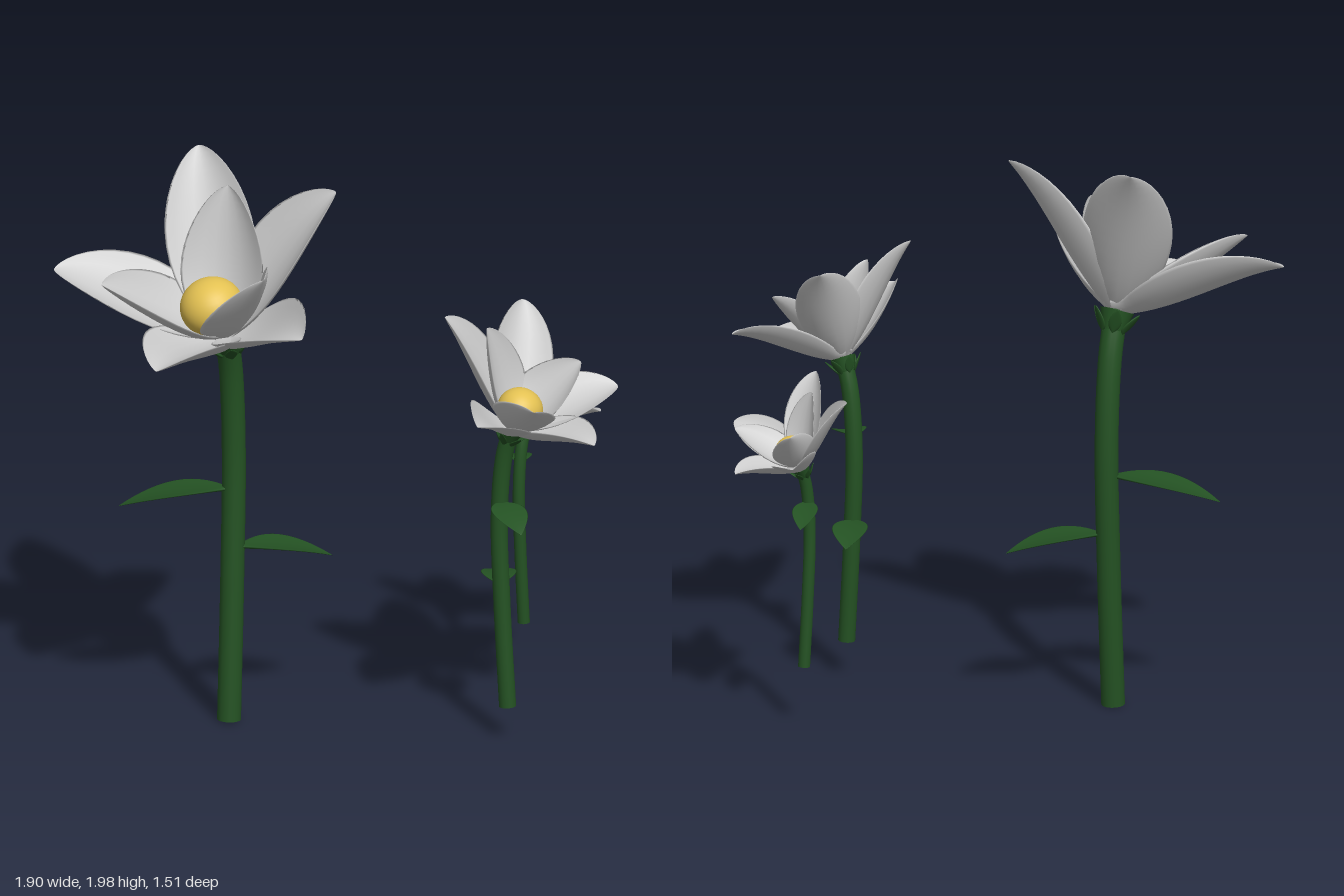
import * as THREE from 'three';

const V = (a) => new THREE.Vector3(...a);
const petalMat = new THREE.MeshStandardMaterial({ color: 0xcccccc });
const greenMat = new THREE.MeshStandardMaterial({ color: 0x245223 });
const yellowMat = new THREE.MeshStandardMaterial({ color: 0xe3c152 });

function add(parent, name, geometry, material) {
  const mesh = new THREE.Mesh(geometry, material);
  mesh.name = name;
  parent.add(mesh);
  return mesh;
}

// Cupped blade with a lens-shaped section, lofted from root to tip.
// lift bows the midline along "up", curl makes it sag first and flare at the tip,
// cup raises the edges towards "up".
function blade(root, tip, up, { width, thick, lift = 0, curl = 0, cup = 0, neck = 0.2, peak = 1.1, round = 0.75 }) {
  const N = 20, M = 20, pos = [], index = [];
  const c1 = root.clone().lerp(tip, 0.33).addScaledVector(up, lift - curl);
  const c2 = root.clone().lerp(tip, 0.67).addScaledVector(up, lift + curl);
  const curve = new THREE.CubicBezierCurve3(root, c1, c2, tip);
  for (let i = 0; i <= N; i++) {
    const t = (1 - Math.cos(Math.PI * i / N)) / 2;
    const d = curve.getTangent(t);
    const side = up.clone().cross(d).normalize();
    const n = d.clone().cross(side);
    const bulge = Math.pow(Math.max(0, Math.sin(Math.PI * Math.pow(t, peak))), round);
    const w = width * Math.max(bulge, neck * (1 - t));
    const h = thick * Math.sqrt(1 - t);
    const c = curve.getPoint(t);
    for (let j = 0; j < M; j++) {
      const a = j / M * Math.PI * 2, u = Math.cos(a);
      const p = c.clone().addScaledVector(side, u * w)
        .addScaledVector(n, cup * w * u * u + h * Math.sin(a));
      pos.push(p.x, p.y, p.z);
      if (i < N) {
        const k = (j + 1) % M, A = i * M + j, B = i * M + k;
        index.push(A, B, B + M, A, B + M, A + M);
      }
    }
  }
  const g = new THREE.BufferGeometry();
  g.setAttribute('position', new THREE.Float32BufferAttribute(pos, 3));
  g.setIndex(index);
  g.computeVertexNormals();
  return g;
}

// Petal tips, relative to the foot of the stem
const outerTips = [
  [-0.58, 1.61, 0.16], [0.41, 1.55, 0.37], [-0.20, 1.98, -0.23], [0.35, 1.92, -0.11], [-0.07, 1.42, 0.51],
];
const innerTips = [[-0.04, 1.90, -0.09], [-0.34, 1.64, 0.33], [0.23, 1.71, 0.27]];
const headBase = V([0, 1.40, 0.025]);
const headAxis = V([-0.05, 0.92, 0.38]).normalize();

function makeFlower() {
  const flower = new THREE.Group();

  // Gently bowed stem with a closed foot
  const path = new THREE.CatmullRomCurve3(
    [[0, 0, 0], [0, 0.5, -0.03], [0, 0.95, -0.045], [0, 1.25, -0.02], [0, 1.41, 0.025]].map(V));
  add(flower, 'stem', new THREE.TubeGeometry(path, 32, 0.041, 16), greenMat);
  add(flower, 'stemFoot', new THREE.CircleGeometry(0.041, 16).rotateX(Math.PI / 2), greenMat);

  // Calyx: flared cup with small pointed sepals
  const cup = add(flower, 'calyx', new THREE.CylinderGeometry(0.06, 0.04, 0.07, 16), greenMat);
  cup.position.set(0, 1.37, 0.012);
  cup.quaternion.setFromUnitVectors(V([0, 1, 0]), headAxis);
  for (let i = 0; i < 6; i++) {
    const a = i / 6 * Math.PI * 2;
    const out = V([Math.cos(a), 0, Math.sin(a)]).applyQuaternion(cup.quaternion);
    const root = cup.position.clone().addScaledVector(out, 0.035).addScaledVector(headAxis, -0.04);
    const tip = cup.position.clone().addScaledVector(out, 0.09).addScaledVector(headAxis, 0.035);
    add(flower, 'sepal', blade(root, tip, headAxis, { width: 0.022, thick: 0.008, peak: 0.8 }), greenMat);
  }

  // Two whorls of cupped petals
  for (const tip of outerTips) {
    add(flower, 'outerPetal', blade(headBase, V(tip), headAxis,
      { width: 0.155, thick: 0.014, lift: -0.005, curl: 0.045, cup: 0.45, neck: 0.4, peak: 1, round: 0.68 }), petalMat);
  }
  const innerBase = headBase.clone().addScaledVector(headAxis, 0.015);
  for (const tip of innerTips) {
    add(flower, 'innerPetal', blade(innerBase, V(tip), headAxis,
      { width: 0.15, thick: 0.013, lift: -0.06, curl: 0.025, cup: 0.5, neck: 0.4, peak: 1, round: 0.6 }), petalMat);
  }

  // Round yellow heart
  const heart = add(flower, 'flowerCentre', new THREE.SphereGeometry(0.11, 32, 20), yellowMat);
  heart.position.set(-0.03, 1.52, 0.085);
  heart.quaternion.copy(cup.quaternion);
  heart.scale.y = 0.9;
  return flower;
}

// Placement of each flower and its leaves (root, tip)
const flowers = [
  { name: 'largeFlower', at: [-0.37, 0.015, 0.24], size: 1, turn: 0,
    leaves: [[[-0.38, 0.84, 0.21], [-0.74, 0.77, 0.33]], [[-0.35, 0.63, 0.20], [-0.08, 0.57, 0.01]]] },
  { name: 'mediumFlower', at: [0.59, 0.135, 0.085], size: 0.72, turn: 82,
    leaves: [[[0.56, 0.87, 0.09], [0.70, 0.82, 0.24]], [[0.56, 0.57, 0.08], [0.465, 0.54, -0.14]]] },
  { name: 'smallFlower', at: [0.425, 0.225, -0.495], size: 0.51, turn: 154,
    leaves: [[[0.42, 0.81, -0.47], [0.345, 0.77, -0.66]]] },
];

export function createModel() {
  const model = new THREE.Group();
  const up = V([0, 1, 0]);
  for (const f of flowers) {
    const plant = new THREE.Group();
    plant.name = f.name;
    const flower = makeFlower();
    flower.name = 'flowerAndStem';
    flower.position.set(...f.at);
    flower.scale.setScalar(f.size);
    flower.rotation.y = THREE.MathUtils.degToRad(f.turn);
    plant.add(flower);
    for (const [root, tip] of f.leaves) {
      add(plant, 'leaf', blade(V(root), V(tip), up,
        { width: 0.085 * f.size, thick: 0.008 * f.size, lift: 0.025 * f.size, cup: 0.15, peak: 0.9, round: 0.9 }), greenMat);
    }
    model.add(plant);
  }
  return model;
}
